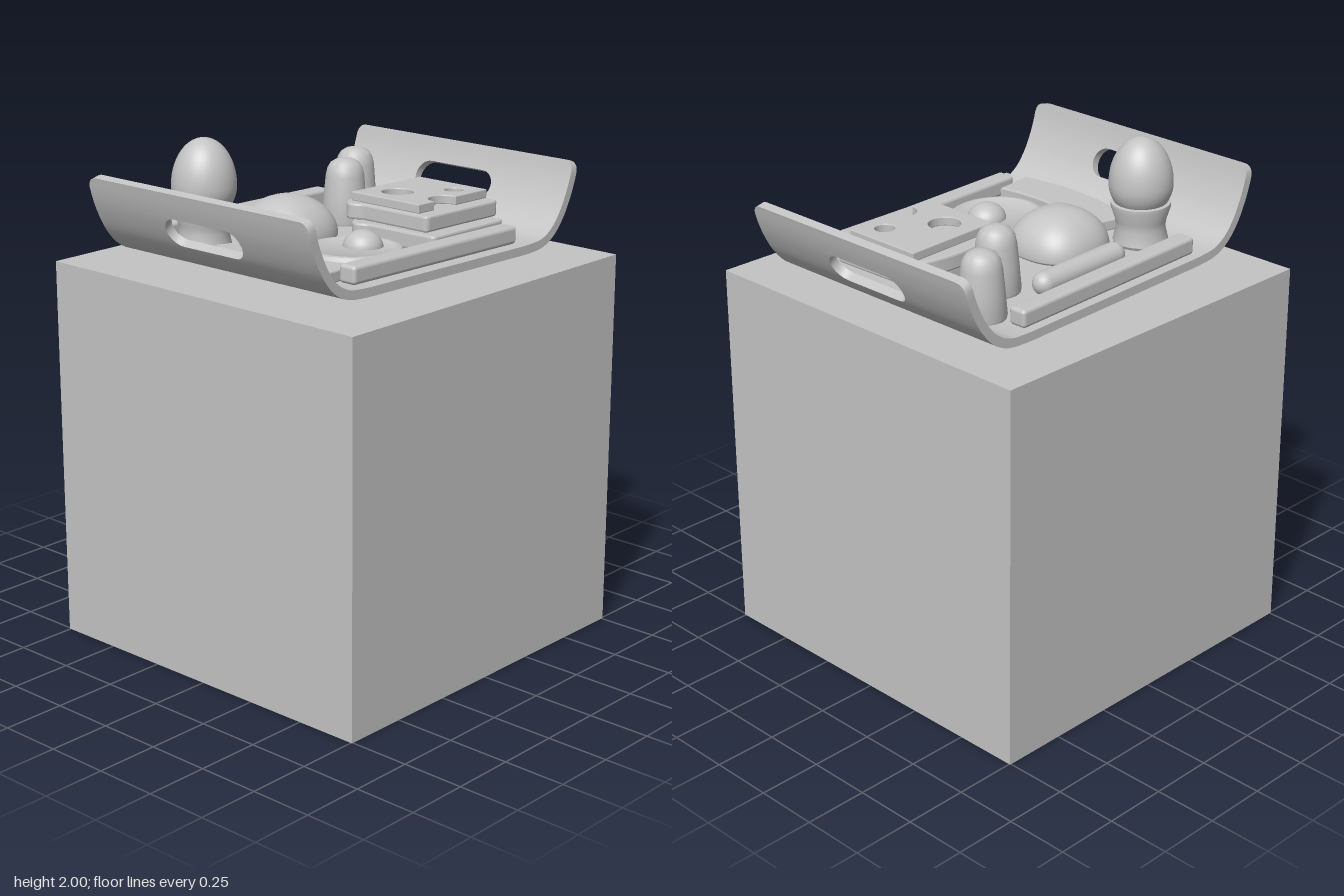
import * as THREE from 'three';
import { toCreasedNormals } from 'three/addons/utils/BufferGeometryUtils.js';
import { RoundedBoxGeometry } from 'three/addons/geometries/RoundedBoxGeometry.js';

const grey = new THREE.MeshStandardMaterial({ color: 0xc4c4c4 });
grey.name = 'plain grey';

function add(parent, name, geometry, x = 0, y = 0, z = 0, yaw = 0) {
  const mesh = new THREE.Mesh(geometry, grey);
  mesh.name = name;
  mesh.position.set(x, y, z);
  mesh.rotation.y = yaw;
  parent.add(mesh);
  return mesh;
}

// Flat outline in x and z, made into a slab whose top is at y = 0
function slab(shape, thickness, bevel) {
  const g = new THREE.ExtrudeGeometry(shape, {
    depth: thickness - 2 * bevel, bevelEnabled: true, bevelSize: bevel,
    bevelThickness: bevel, bevelOffset: -bevel, bevelSegments: 2, curveSegments: 20,
  });
  g.translate(0, 0, bevel);
  g.rotateX(Math.PI / 2);
  return g;
}

function lathe(points, segments = 40) {
  return toCreasedNormals(
    new THREE.LatheGeometry(points.map(([r, y]) => new THREE.Vector2(r, y)), segments), 0.6);
}

// Bent board swept from rim to rim, in a front and a back half that part at the slots
function trayGeometry() {
  const side = [[0.25, 0], [0.48, 0], [0.56, 0.01], [0.62, 0.042], [0.67, 0.098],
    [0.71, 0.17], [0.737, 0.24], [0.752, 0.3]];
  const pts = [...side.map(([x, y]) => [-x, y]).reverse(), [0, 0], ...side];
  const curve = new THREE.CatmullRomCurve3(
    pts.map(([x, y]) => new THREE.Vector3(x, y + 0.0175, 0)), false, 'centripetal');
  const length = curve.getLength();

  // rows: distance from the rim, outer half width, slot half length
  const rows = [];
  const corner = 0.04;
  for (const d of [0, 0.002, 0.006, 0.012, 0.022, 0.04, 0.07, 0.1]) {
    const k = Math.max(0, corner - d);
    rows.push([d, 0.55 - corner + Math.sqrt(corner * corner - k * k), 0]);
  }
  for (let k = 0; k <= 14; k++) {
    const a = (k / 14) * Math.PI;
    rows.push([0.16 - 0.06 * Math.cos(a), 0.55, 0.13 + 0.06 * Math.sin(a)]);
  }
  for (let d = 0.22; d < 0.56; d += 0.025) rows.push([d, 0.55, 0]);
  const all = [...rows, ...rows.map(([d, w, s]) => [length - d, w, s]).reverse()];

  const position = [];
  const half = 0.0175;
  for (const front of [true, false]) {
    const rings = all.map(([d, w, s]) => {
      const u = THREE.MathUtils.clamp(d / length, 0, 1);
      const p = curve.getPointAt(u), t = curve.getTangentAt(u);
      const [lo, hi] = front ? [s, w] : [-w, -s];
      return [[-half, lo], [half, lo], [half, hi], [-half, hi]].map(
        ([n, z]) => [p.x - t.y * n, p.y + t.x * n, z]);
    });
    const quad = (a, b, c, d) => position.push(...a, ...b, ...c, ...a, ...c, ...d);
    for (let i = 0; i < rings.length - 1; i++) {
      for (let j = 0; j < 4; j++) {
        const k = (j + 1) % 4;
        quad(rings[i][j], rings[i][k], rings[i + 1][k], rings[i + 1][j]);
      }
    }
    const first = rings[0], last = rings[rings.length - 1];
    quad(first[3], first[2], first[1], first[0]);
    quad(last[0], last[1], last[2], last[3]);
  }
  const g = new THREE.BufferGeometry();
  g.setAttribute('position', new THREE.Float32BufferAttribute(position, 3));
  return toCreasedNormals(g, 0.6);
}

// Slice of bread with two lobes at the back
function breadShape() {
  const s = new THREE.Shape();
  s.moveTo(-0.215, 0.2);
  s.quadraticCurveTo(-0.215, 0.225, -0.19, 0.225);
  s.lineTo(0.19, 0.225);
  s.quadraticCurveTo(0.215, 0.225, 0.215, 0.2);
  s.lineTo(0.215, -0.08);
  s.bezierCurveTo(0.215, -0.11, 0.235, -0.11, 0.235, -0.145);
  s.bezierCurveTo(0.22, -0.2, 0.1, -0.225, 0, -0.225);
  s.bezierCurveTo(-0.1, -0.225, -0.22, -0.2, -0.235, -0.145);
  s.bezierCurveTo(-0.235, -0.11, -0.215, -0.11, -0.215, -0.08);
  s.closePath();
  return s;
}

// Cheese slice with two round holes and a bitten edge
function cheeseShape() {
  const s = new THREE.Shape();
  s.moveTo(0.114, -0.033);
  s.lineTo(0.517, -0.033);
  s.lineTo(0.517, 0.303);
  s.lineTo(0.333, 0.303);
  s.absarc(0.268, 0.303, 0.065, 0, Math.PI, true);
  s.lineTo(0.114, 0.303);
  s.closePath();
  for (const [x, z, r] of [[0.239, 0.091, 0.062], [0.421, 0.22, 0.038]]) {
    const hole = new THREE.Path();
    hole.absarc(x, z, r, 0, Math.PI * 2, false);
    s.holes.push(hole);
  }
  return s;
}

// Curved strip of bacon
function baconShape() {
  const s = new THREE.Shape();
  s.moveTo(-0.5, -0.153);
  s.lineTo(-0.347, -0.104);
  s.bezierCurveTo(-0.4, 0.06, -0.42, 0.25, -0.388, 0.42);
  s.lineTo(-0.546, 0.432);
  s.bezierCurveTo(-0.59, 0.22, -0.57, 0.03, -0.5, -0.153);
  return s;
}

export function createModel() {
  const model = new THREE.Group();
  model.name = 'breakfastTrayOnBlock';
  add(model, 'block', new THREE.BoxGeometry(1.51, 1.51, 1.51), 0, 0.755, 0);

  // tray and food lean slightly
  const set = new THREE.Group();
  set.name = 'breakfastTray';
  set.position.y = 1.54;
  set.rotation.set(0, 0.004, -0.02);
  model.add(set);
  add(set, 'tray', trayGeometry());

  // bars along the front and back edges
  add(set, 'backBar', new RoundedBoxGeometry(0.925, 0.07, 0.076, 3, 0.015), -0.008, 0.07, -0.483, 0.006);
  add(set, 'frontBar', new RoundedBoxGeometry(0.925, 0.07, 0.076, 3, 0.015), -0.012, 0.07, 0.47, -0.004);

  // small sausage
  const sausage = new THREE.CapsuleGeometry(0.045, 0.37, 8, 24);
  sausage.rotateZ(Math.PI / 2);
  add(set, 'sausage', sausage, -0.005, 0.078, -0.36);

  // boiled egg in its cup
  add(set, 'eggCup', lathe([[0, 0.033], [0.1, 0.033], [0.106, 0.045], [0.094, 0.1], [0.098, 0.13],
    [0.114, 0.18], [0.114, 0.197], [0.1, 0.2], [0, 0.18]]), -0.433, 0, -0.282);
  const egg = new THREE.SphereGeometry(0.123, 40, 28);
  const ep = egg.attributes.position;
  for (let i = 0; i < ep.count; i++) {
    const y = ep.getY(i);
    ep.setY(i, y > 0 ? y * 1.46 : y * 1.05);
  }
  egg.computeVertexNormals();
  add(set, 'boiledEgg', egg, -0.433, 0.273, -0.282);

  // bread roll, a little squarer than round
  const roll = new THREE.SphereGeometry(1, 48, 28);
  const rp = roll.attributes.position;
  for (let i = 0; i < rp.count; i++) {
    const x = rp.getX(i), y = rp.getY(i), z = rp.getZ(i);
    const r = Math.hypot(x, z) || 1;
    const k = 1 / Math.pow((Math.abs(x) ** 2.5 + Math.abs(z) ** 2.5) / r ** 2.5 || 1, 1 / 2.5);
    rp.setXYZ(i, x * k * 0.182, y > 0 ? y * 0.15 : y * 0.035, z * k * 0.176);
  }
  roll.computeVertexNormals();
  add(set, 'breadRoll', roll, -0.138, 0.068, -0.132);

  // fried egg
  const white = add(set, 'eggWhite', lathe([[0, 0.033], [0.19, 0.033], [0.2, 0.05], [0.197, 0.068],
    [0.183, 0.082], [0.168, 0.084], [0.158, 0.078], [0, 0.08]], 48), -0.176, 0, 0.237);
  white.scale.z = 0.94;
  const yolk = add(set, 'eggYolk', new THREE.SphereGeometry(0.076, 32, 20), -0.128, 0.075, 0.24);
  yolk.scale.y = 0.85;

  add(set, 'baconStrip', slab(baconShape(), 0.045, 0.006), 0, 0.08, 0);

  // sandwich: two slices and cheese
  add(set, 'lowerBread', slab(breadShape(), 0.066, 0.008), 0.278, 0.108, 0.188, 0.02);
  add(set, 'upperBread', slab(breadShape(), 0.062, 0.008), 0.307, 0.171, 0.135);
  add(set, 'cheeseSlice', slab(cheeseShape(), 0.036, 0.004), 0, 0.206, 0);

  // salt and pepper shakers
  const shaker = lathe([[0, 0.033], [0.087, 0.033], [0.09, 0.045], [0.083, 0.14], [0.076, 0.22],
    [0.07, 0.25], [0.057, 0.272], [0.036, 0.285], [0.015, 0.29], [0, 0.291]]);
  add(set, 'saltShaker', shaker, 0.27, 0, -0.208);
  add(set, 'pepperShaker', shaker, 0.47, 0, -0.333);
  return model;
}
